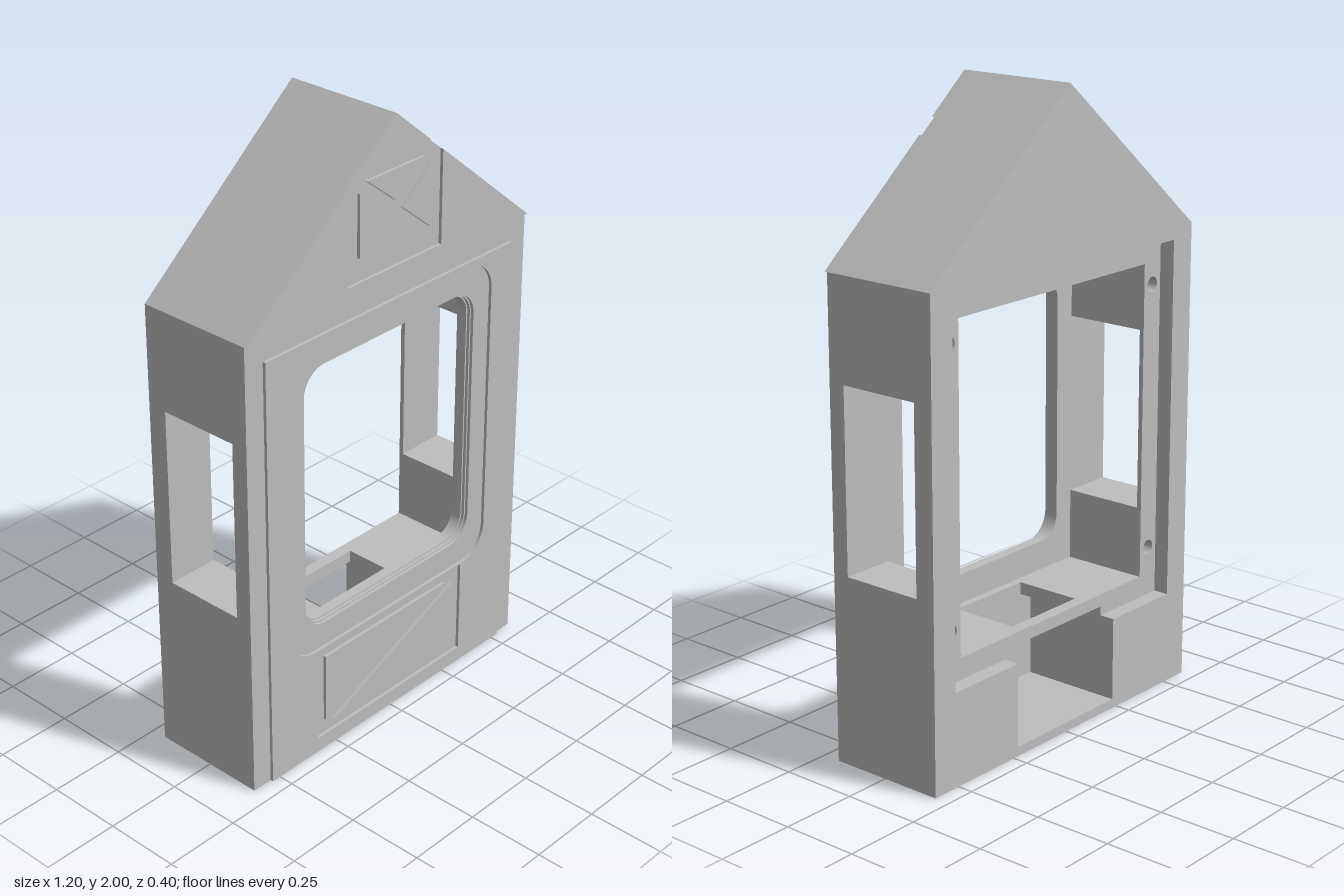
import * as THREE from 'three';

const polygon = (pts, Type = THREE.Shape) => new Type(pts.map(([x, y]) => new THREE.Vector2(x, y)));
const rect = (hx, y0, y1) => polygon([[-hx, y0], [hx, y0], [hx, y1], [-hx, y1]], THREE.Path);

// Rounded rectangle path centred on x = 0
function roundedRect(hx, y0, y1, r) {
  const p = new THREE.Path();
  p.moveTo(-hx + r, y0);
  p.lineTo(hx - r, y0);
  p.absarc(hx - r, y0 + r, r, -Math.PI / 2, 0);
  p.lineTo(hx, y1 - r);
  p.absarc(hx - r, y1 - r, r, 0, Math.PI / 2);
  p.lineTo(-hx + r, y1);
  p.absarc(-hx + r, y1 - r, r, Math.PI / 2, Math.PI);
  p.lineTo(-hx, y0 + r);
  p.absarc(-hx + r, y0 + r, r, Math.PI, Math.PI * 1.5);
  return p;
}

const circle = (x, y, r) => new THREE.Path().absarc(x, y, r, 0, Math.PI * 2);

export function createModel() {
  const group = new THREE.Group();
  const grey = new THREE.MeshStandardMaterial({ color: 0xbebebe });
  grey.name = 'grey';

  // Extrude a shape with holes between two depths
  function slab(name, z0, z1, pts, holes = []) {
    const shape = polygon(pts);
    shape.holes.push(...holes);
    const geo = new THREE.ExtrudeGeometry(shape, { depth: z1 - z0, bevelEnabled: false, curveSegments: 10 });
    const mesh = new THREE.Mesh(geo, grey);
    mesh.name = name;
    mesh.position.z = z0;
    group.add(mesh);
  }

  const house = [[-0.6, 0], [0.6, 0], [0.6, 1.5], [0, 2], [-0.6, 1.5]];
  const screwHoles = (y) => [circle(-0.47, y, 0.024), circle(0.47, y, 0.024)];
  const lowerBay = () => rect(0.23, 0.03, 0.33);

  // Back frame with the rebate and the open lower bay
  slab('backFrame', -0.2, -0.15, house, [polygon([
    [-0.51, 1.46], [-0.51, 0.3], [-0.23, 0.3], [-0.23, 0.03],
    [0.23, 0.03], [0.23, 0.3], [0.51, 0.3], [0.51, 1.46]], THREE.Path)]);

  // Ledge with screw holes
  slab('ledge', -0.15, -0.135, house,
    [rect(0.43, 0.37, 1.39), lowerBay(), ...screwHoles(0.46), ...screwHoles(1.32)]);

  // Roof block and base, separated by the side windows
  const roof = [[-0.6, 1.18], [-0.43, 1.18], [-0.43, 1.39], [0.43, 1.39], [0.43, 1.18],
    [0.6, 1.18], [0.6, 1.5], [0, 2], [-0.6, 1.5]];
  const base = [[-0.6, 0], [0.6, 0], [0.6, 0.6], [0.43, 0.6], [0.43, 0.37],
    [-0.43, 0.37], [-0.43, 0.6], [-0.6, 0.6]];
  // Base section with the floor opening joined to the bay
  const openBase = [[-0.6, 0], [0.6, 0], [0.6, 0.6], [0.43, 0.6], [0.43, 0.37], [0.15, 0.37],
    [0.15, 0.33], [0.23, 0.33], [0.23, 0.03], [-0.23, 0.03], [-0.23, 0.33], [-0.15, 0.33],
    [-0.15, 0.37], [-0.43, 0.37], [-0.43, 0.6], [-0.6, 0.6]];
  slab('roofBack', -0.135, -0.11, roof, screwHoles(1.32));
  slab('roofBlock', -0.11, 0.135, roof);
  slab('baseBack', -0.135, -0.11, base, [lowerBay(), ...screwHoles(0.46)]);
  slab('baseMiddle', -0.11, 0.11, openBase);
  slab('baseFront', 0.11, 0.135, base, [lowerBay()]);

  // Front wall with the stepped window opening
  slab('frontWall', 0.135, 0.17, house, [roundedRect(0.36, 0.465, 1.32, 0.075)]);
  slab('frontWallStep', 0.17, 0.18, house, [roundedRect(0.365, 0.46, 1.325, 0.08)]);
  slab('frontWallRim', 0.18, 0.19, house, [roundedRect(0.37, 0.455, 1.33, 0.085)]);

  // Raised front plate around the window surround and the lower panel
  slab('frontPlate', 0.19, 0.2, [[-0.53, 0], [0.53, 0], [0.53, 1.43], [-0.53, 1.43]],
    [roundedRect(0.44, 0.374, 1.41, 0.1), rect(0.33, 0.05, 0.369)]);

  // Raised gable, interrupted by the square recess
  slab('gableFace', 0.19, 0.2, [[-0.6, 1.5], [0.6, 1.5], [0.2, 1.833], [0.2, 1.535],
    [-0.2, 1.535], [-0.2, 1.833]]);
  slab('gablePeak', 0.19, 0.2, [[-0.144, 1.88], [0.144, 1.88], [0, 2]]);

  // Raised triangles in both panels
  const triangles = [
    [[-0.12, 1.835], [0, 1.74], [0.12, 1.835]],
    [[-0.12, 1.585], [0.12, 1.585], [0, 1.675]],
    [[-0.15, 1.61], [-0.03, 1.707], [-0.15, 1.805]],
    [[0.15, 1.61], [0.15, 1.805], [0.03, 1.707]],
    [[-0.295, 0.1], [0.255, 0.335], [-0.295, 0.335]],
    [[0.295, 0.32], [-0.26, 0.085], [0.295, 0.085]],
  ];
  triangles.forEach((t, i) => slab(i < 4 ? 'gableTriangle' : 'panelTriangle', 0.19, 0.2, t));

  return group;
}
